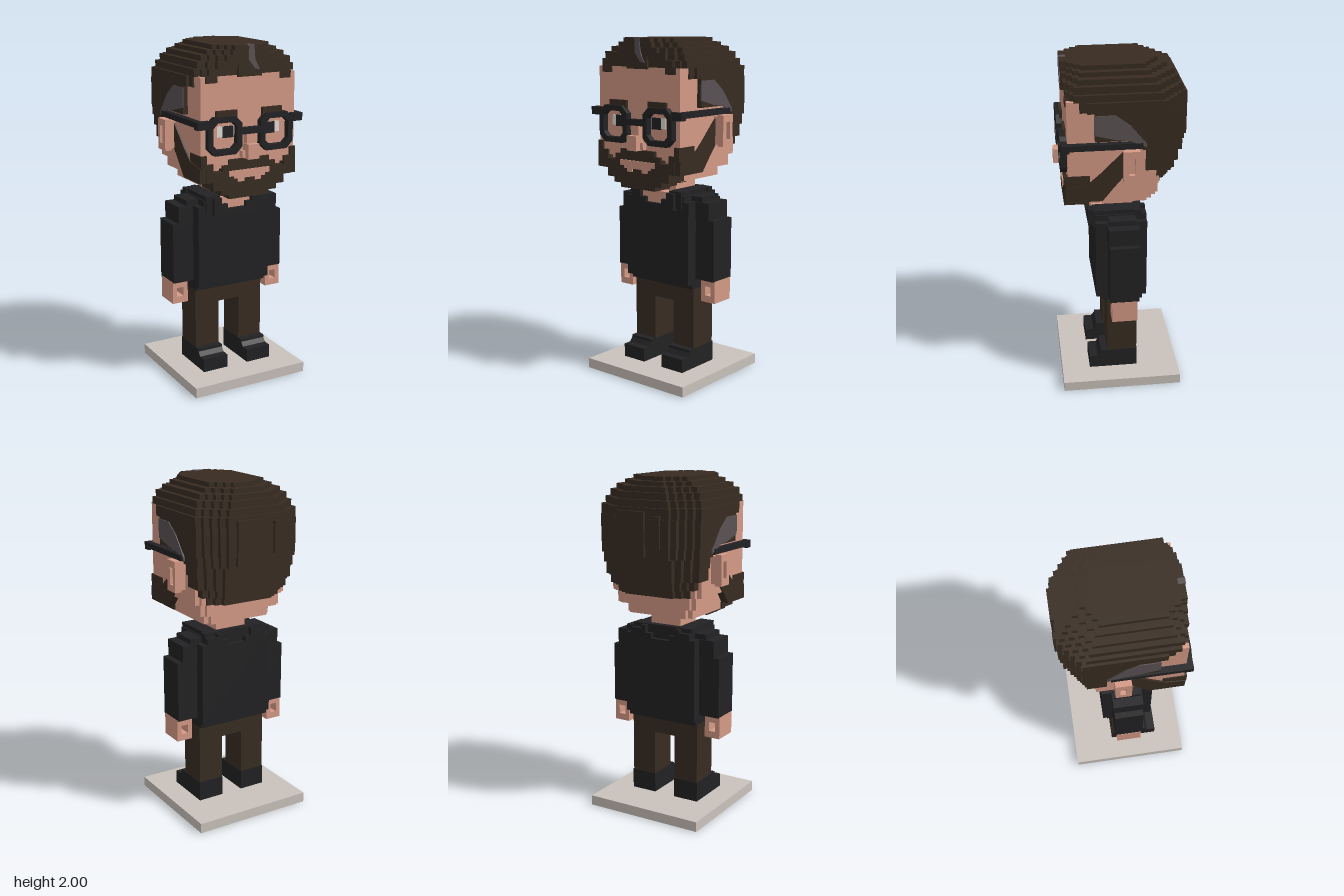
import * as THREE from 'three';

const mat = (name, color) => Object.assign(new THREE.MeshStandardMaterial({ color }), { name });

export function createModel() {
  const root = new THREE.Group();
  root.name = 'blockFigure';
  const skin = mat('skin', 0xd59a86), brown = mat('darkBrown', 0x382c21), black = mat('black', 0x222224);
  const stone = mat('stone', 0xcac2bc), grey = mat('greyHair', 0x5a5254), white = mat('eyeWhite', 0xe2dcd8);

  const add = (name, geo, m) => {
    const mesh = new THREE.Mesh(geo, m);
    mesh.name = name;
    root.add(mesh);
    return mesh;
  };
  // Box given by its limits on each axis
  const box = (name, m, x0, x1, y0, y1, z0, z1) =>
    add(name, new THREE.BoxGeometry(x1 - x0, y1 - y0, z1 - z0)
      .translate((x0 + x1) / 2, (y0 + y1) / 2, (z0 + z1) / 2), m);
  // The same box on both sides
  const pair = (name, m, x0, x1, ...yz) => {
    box(name + 'Left', m, x0, x1, ...yz);
    box(name + 'Right', m, -x1, -x0, ...yz);
  };
  const toShape = (pts, hole) => {
    const s = new THREE.Shape(pts.map(p => new THREE.Vector2(...p)));
    if (hole) s.holes.push(new THREE.Path(hole.map(p => new THREE.Vector2(...p))));
    return s;
  };
  const extrude = (pts, depth, hole) =>
    new THREE.ExtrudeGeometry(toShape(pts, hole), { depth, bevelEnabled: false });
  // Front outline (x, y) swept from z0 to z1
  const frontPart = (name, m, pts, z0, z1, hole) =>
    add(name, extrude(pts, z1 - z0, hole).translate(0, 0, z0), m);
  // Side outline (z, y) swept from x0 to x1, on both sides
  const sidePair = (name, m, pts, x0, x1, hole) => {
    for (const [side, x] of [['Left', x1], ['Right', -x0]])
      add(name + side, extrude(pts, x1 - x0, hole).rotateY(-Math.PI / 2).translate(x, 0, 0), m);
  };
  const mirrored = half => [...half, ...half.filter(p => p[0] > 0).reverse().map(([x, y]) => [-x, y])];
  const rect = (x0, x1, y0, y1) => [[x0, y0], [x1, y0], [x1, y1], [x0, y1]];
  // Horizontal slab with staircase corners; cf and cb are the corner cuts [x, z, steps]
  const slab = (name, m, y0, y1, hx, zb, zf, cb, cf) => {
    const pts = [];
    const [bx, bz, bn] = cb, [fx, fz, fn] = cf;
    for (let i = 0; i <= fn; i++) {
      const x = hx - fx + fx * i / fn, z = zf - fz * i / fn;
      if (i) pts.push([x, -(z + fz / fn)]);
      pts.push([x, -z]);
    }
    for (let i = 0; i <= bn; i++) {
      const x = hx - bx * i / bn, z = zb + bz - bz * i / bn;
      if (i) pts.push([x, -(z + bz / bn)]);
      pts.push([x, -z]);
    }
    add(name, extrude(mirrored(pts), y1 - y0).rotateX(-Math.PI / 2).translate(0, y0, 0), m);
  };

  // Base
  box('base', stone, -0.37, 0.37, 0, 0.06, -0.345, 0.37);

  // Legs and shoes
  pair('leg', brown, 0.07, 0.225, 0.17, 0.46, -0.09, 0.09);
  box('hips', brown, -0.225, 0.225, 0.45, 0.57, -0.09, 0.09);
  sidePair('shoe', black, [[-0.093, 0.06], [0.2, 0.06], [0.2, 0.14], [0.15, 0.14], [0.13, 0.165],
    [0.13, 0.18], [-0.093, 0.18]], 0.068, 0.228);

  // Sweater with an open neckline
  frontPart('sweater', black, mirrored([[0.06, 1.05], [0.06, 1.08], [0.1, 1.08], [0.1, 1.125], [0.13, 1.125],
    [0.13, 1.105], [0.2, 1.105], [0.2, 1.07], [0.235, 1.07], [0.235, 0.58]].reverse()), -0.145, 0.155);
  box('sweaterHem', black, -0.232, 0.232, 0.55, 0.58, -0.12, 0.115);
  box('collarBack', black, -0.2, 0.2, 1.04, 1.13, -0.115, -0.07);
  pair('collarSide', black, 0.1, 0.19, 1.03, 1.13, -0.1, 0.165);
  frontPart('collarFront', black, mirrored([[0.15, 1.02], [0.15, 1.12], [0.1, 1.12], [0.1, 1.08],
    [0.06, 1.08], [0.06, 1.05]]), 0.15, 0.19);

  // Sleeves and pierced hands
  pair('sleeve', black, 0.23, 0.365, 0.61, 0.97, -0.085, 0.085);
  pair('shoulder', black, 0.23, 0.33, 0.96, 1.07, -0.088, 0.088);
  pair('shoulderTop', black, 0.2, 0.275, 1.06, 1.1, -0.08, 0.08);
  for (const [side, cx] of [['Left', 0.318], ['Right', -0.318]])
    frontPart('hand' + side, skin, rect(cx - 0.049, cx + 0.049, 0.48, 0.612), -0.075, 0.075,
      rect(cx - 0.021, cx + 0.021, 0.52, 0.575));

  // Neck and head
  box('neck', skin, -0.1, 0.1, 1.03, 1.22, -0.075, 0.1);
  box('throat', skin, -0.099, 0.099, 1.03, 1.12, 0.08, 0.165);
  slab('jaw', skin, 1.2, 1.26, 0.22, -0.17, 0.2, [0.03, 0.03, 1], [0.04, 0.04, 1]);
  slab('jawUpper', skin, 1.26, 1.33, 0.265, -0.2, 0.28, [0.03, 0.02, 1], [0.04, 0.04, 1]);
  slab('head', skin, 1.33, 1.84, 0.3, -0.2, 0.31, [0.03, 0.02, 1], [0.03, 0.03, 1]);

  // Ears with a raised rim
  pair('ear', skin, 0.28, 0.345, 1.4, 1.56, -0.075, 0.005);
  sidePair('earRim', skin, rect(-0.08, 0.01, 1.39, 1.57), 0.33, 0.37, rect(-0.055, -0.022, 1.43, 1.53));

  // Hair in stacked layers: y0, y1, half width, back, front, back corner, front corner
  const sharp = [0.02, 0.02, 1];
  [
    [1.33, 1.38, 0.24, -0.26, -0.17, [0.08, 0.05, 2], sharp],
    [1.38, 1.43, 0.28, -0.3, -0.18, [0.1, 0.07, 3], sharp],
    [1.43, 1.5, 0.31, -0.32, -0.12, [0.12, 0.09, 3], sharp],
    [1.5, 1.56, 0.32, -0.34, -0.12, [0.12, 0.1, 3], sharp],
    [1.56, 1.62, 0.325, -0.352, -0.1, [0.14, 0.1, 4], sharp],
    [1.62, 1.78, 0.33, -0.358, 0.16, [0.14, 0.11, 4], sharp],
    [1.78, 1.84, 0.33, -0.352, 0.24, [0.14, 0.11, 4], [0.04, 0.08, 2]],
    [1.84, 1.88, 0.315, -0.34, 0.31, [0.14, 0.12, 4], [0.1, 0.06, 3]],
    [1.88, 1.92, 0.295, -0.32, 0.32, [0.14, 0.12, 4], [0.14, 0.08, 3]],
    [1.92, 1.95, 0.265, -0.3, 0.322, [0.13, 0.12, 4], [0.16, 0.1, 4]],
    [1.95, 1.975, 0.22, -0.26, 0.324, [0.12, 0.1, 3], [0.15, 0.12, 4]],
    [1.975, 2, 0.18, -0.215, 0.325, [0.11, 0.08, 3], [0.11, 0.14, 4]],
  ].forEach(([y0, y1, ...rest], i) => slab('hairLayer' + (i + 1), brown, y0, y1, ...rest));
  box('hairBackTuft', brown, -0.04, 0.14, 1.57, 1.82, -0.372, -0.34);
  box('hairBackTuftSmall', brown, -0.14, -0.1, 1.62, 1.8, -0.372, -0.34);
  pair('hairline', brown, 0.2, 0.27, 1.805, 1.845, 0.2, 0.316);
  box('forelock', brown, -0.075, 0.075, 1.83, 1.9, 0.28, 0.325);

  // Grey hair at the temples and above the forehead
  sidePair('greyTemple', grey, [[0.165, 1.66], [0.165, 1.77], [0.05, 1.77], [-0.03, 1.71], [-0.12, 1.6],
    [-0.12, 1.58], [-0.03, 1.62], [0.05, 1.63]], 0.328, 0.335);
  frontPart('greyStreak', grey, [[-0.01, 2], [-0.01, 1.92], [0.03, 1.87], [0.06, 1.865], [0.03, 1.92],
    [0.022, 2]], 0.322, 0.33);
  box('greyStreakTop', grey, -0.015, 0.018, 1.995, 2.002, 0.29, 0.327);

  // Beard: stepped front, side whiskers, mouth
  frontPart('beard', brown, mirrored([[0.13, 1.15], [0.13, 1.175], [0.18, 1.175], [0.18, 1.205], [0.23, 1.205],
    [0.23, 1.255], [0.27, 1.255], [0.27, 1.33], [0.305, 1.33], [0.305, 1.41], [0.27, 1.41], [0.27, 1.36],
    [0.23, 1.36], [0.23, 1.31], [0.17, 1.31], [0.17, 1.345], [0.13, 1.345], [0.13, 1.375]]), 0.19, 0.325);
  box('beardUnderside', brown, -0.2, 0.2, 1.19, 1.28, 0.13, 0.2);
  sidePair('whiskers', brown, [[0.32, 1.255], [0.32, 1.34], [0.2, 1.36], [0.13, 1.42], [0.03, 1.52],
    [0, 1.55], [0, 1.4], [0.06, 1.33], [0.12, 1.255]], 0.25, 0.31);
  box('mouth', skin, -0.13, 0.13, 1.28, 1.312, 0.322, 0.331);
  box('lowerLip', skin, -0.1, 0.1, 1.265, 1.285, 0.322, 0.33);
  pair('chinGap', skin, 0.035, 0.075, 1.245, 1.27, 0.322, 0.33);

  // Nose
  box('nose', skin, -0.035, 0.035, 1.375, 1.46, 0.3, 0.374);
  box('noseBridge', skin, -0.03, 0.03, 1.45, 1.53, 0.3, 0.345);
  box('nostrils', skin, -0.055, 0.055, 1.38, 1.42, 0.3, 0.34);

  // Eyes and brows
  pair('eyeWhite', white, 0.095, 0.2, 1.505, 1.565, 0.306, 0.314);
  pair('pupil', black, 0.1, 0.168, 1.5, 1.565, 0.308, 0.317);
  pair('eyebrow', brown, 0.08, 0.21, 1.6, 1.652, 0.3, 0.327);

  // Glasses
  const octagon = (cx, cy, r, c) => [[r, -r + c], [r, r - c], [r - c, r], [c - r, r], [-r, r - c],
    [-r, c - r], [c - r, -r], [r - c, -r]].map(([x, y]) => [cx + x, cy + y]);
  for (const [side, cx] of [['Left', 0.165], ['Right', -0.165]])
    frontPart('glassesRim' + side, black, octagon(cx, 1.515, 0.106, 0.04), 0.305, 0.347,
      octagon(cx, 1.515, 0.075, 0.028));
  box('glassesBridge', black, -0.065, 0.065, 1.515, 1.55, 0.31, 0.348);
  pair('glassesHinge', black, 0.26, 0.335, 1.56, 1.605, 0.3, 0.345);
  pair('glassesTemple', black, 0.3, 0.337, 1.572, 1.605, -0.1, 0.34);

  return root;
}
